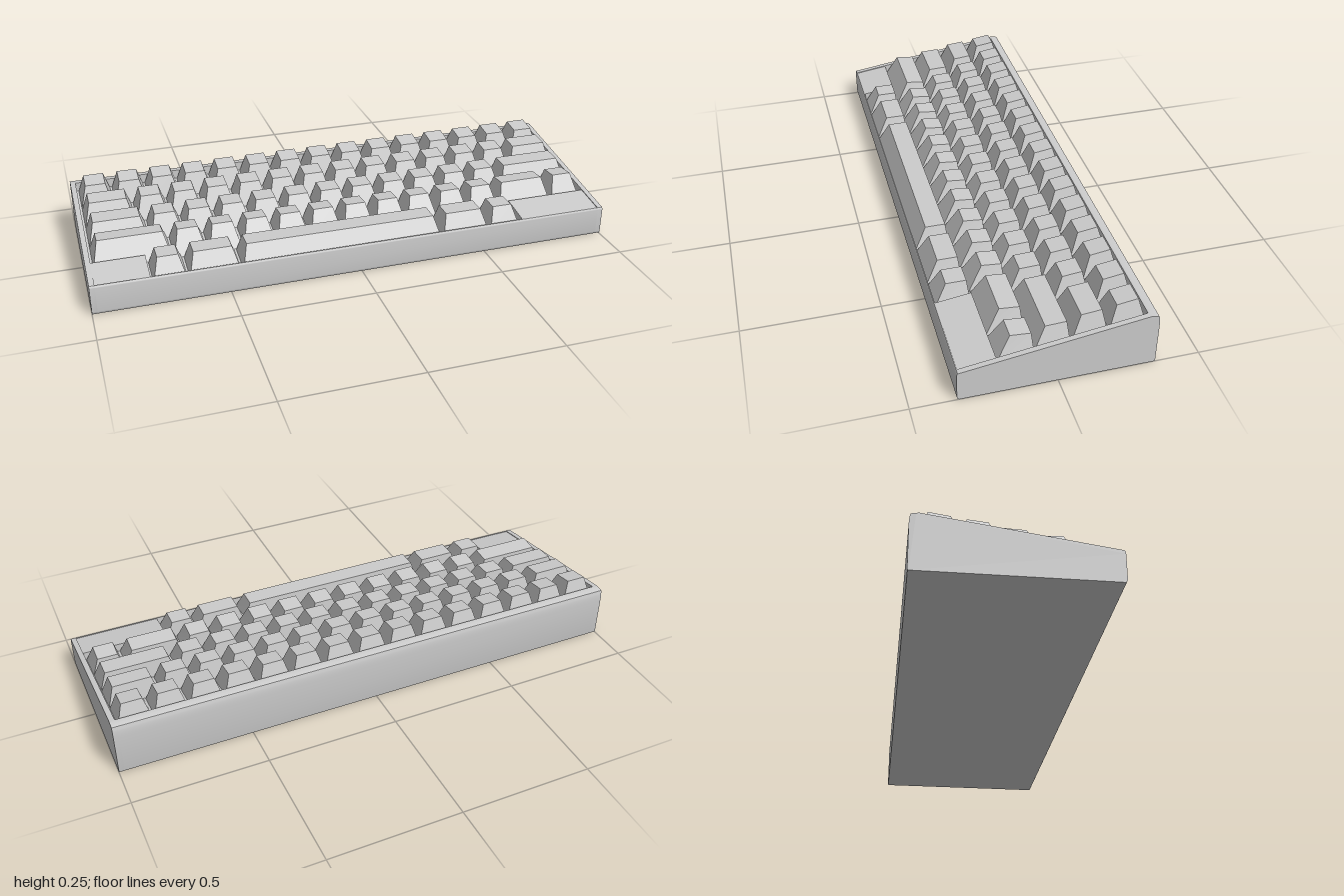
import * as THREE from 'three';
import { toCreasedNormals } from 'three/addons/utils/BufferGeometryUtils.js';

const material = new THREE.MeshStandardMaterial({ color: 0xcccccc });
const INNER = 0.98;      // half width of the key tray
const UNIT = 0.13;       // width of a single key
const DEPTH = 0.035;     // depth of the tray below the rim
const rim = (z) => 0.165 - 0.1427 * z;

// Extrudes a side outline (drawn in -z, y) from x0 to x1
function extrudeSide(name, shape, x0, x1) {
  let geo = new THREE.ExtrudeGeometry(shape, { depth: x1 - x0, bevelEnabled: false, curveSegments: 6 });
  geo.rotateY(Math.PI / 2).translate(x0, 0, 0);
  geo = toCreasedNormals(geo, 0.5);
  const mesh = new THREE.Mesh(geo, material);
  mesh.name = name;
  return mesh;
}

// Wedge outline with softened edges; the tray is cut in if asked for
function caseOutline(withTray) {
  const s = new THREE.Shape();
  s.moveTo(-0.335, 0);
  s.lineTo(0.337, 0);
  s.quadraticCurveTo(0.342, 0, 0.342, 0.006);
  s.lineTo(0.342, 0.16);
  s.quadraticCurveTo(0.342, 0.19, 0.337, 0.204);
  s.quadraticCurveTo(0.325, 0.208, 0.309, 0.209);
  if (withTray) {
    s.lineTo(0.305, rim(-0.305));
    s.lineTo(0.305, rim(-0.305) - DEPTH);
    s.lineTo(-0.336, rim(0.336) - DEPTH);
    s.lineTo(-0.336, rim(0.336));
  }
  s.lineTo(-0.339, rim(0.339));
  s.quadraticCurveTo(-0.343, 0.113, -0.343, 0.1);
  s.lineTo(-0.343, 0.012);
  s.quadraticCurveTo(-0.342, 0.002, -0.335, 0);
  return s;
}

// Filler that covers the tray where the front row has no keys
function fillerOutline() {
  const top = 0.003, front = 0.337, back = 0.207;
  return new THREE.Shape([
    new THREE.Vector2(-front, rim(front) - DEPTH - 0.01),
    new THREE.Vector2(-back, rim(back) - DEPTH - 0.01),
    new THREE.Vector2(-back, rim(back) - top),
    new THREE.Vector2(-front, rim(front) - top),
  ]);
}

// Tapered key: a box whose corners follow the row's side profile
function makeKey(x0, x1, row) {
  const geo = new THREE.BoxGeometry(1, 1, 1);
  const p = geo.attributes.position;
  const gap = 0.004, taper = 0.023;
  const centre = (x0 + x1) / 2, half = (x1 - x0) / 2 - gap;
  for (let i = 0; i < p.count; i++) {
    const isTop = p.getY(i) > 0, isFront = p.getZ(i) > 0;
    const x = centre + Math.sign(p.getX(i)) * (half - (isTop ? taper : 0));
    const baseZ = isFront ? row.base[0] : row.base[1];
    if (isTop) {
      const [z, y] = isFront ? row.front : row.back;
      p.setXYZ(i, x, y, z);
    } else {
      p.setXYZ(i, x, rim(baseZ) - DEPTH, baseZ);
    }
  }
  geo.computeVertexNormals();
  const mesh = new THREE.Mesh(geo, material);
  mesh.name = 'key';
  return mesh;
}

const ones = (n) => Array(n).fill(1);

// Rows from back to front: [z, y] of the top edges, z of the base, key widths in units
const rows = [
  { name: 'numberRow', front: [-0.207, 0.238], back: [-0.281, 0.249], base: [-0.178, -0.301], start: 0, keys: ones(15) },
  { name: 'upperRow', front: [-0.086, 0.223], back: [-0.157, 0.23], base: [-0.05, -0.172], start: 0, keys: [1.5, ...ones(12), 1.5] },
  { name: 'homeRow', front: [0.036, 0.203], back: [-0.038, 0.206], base: [0.078, -0.045], start: 0, keys: [1.75, ...ones(11), 2.25] },
  { name: 'lowerRow', front: [0.154, 0.19], back: [0.082, 0.183], base: [0.205, 0.077], start: 0, keys: [2.25, ...ones(10), 1.75, 1] },
  { name: 'spaceRow', front: [0.29, 0.164], back: [0.216, 0.164], base: [0.334, 0.21], start: 1.5, keys: [1, 1.5, 6, 1.5, 1] },
];

export function createModel() {
  const model = new THREE.Group();
  model.name = 'keyboard';

  // Case: tray in the middle, full-height cheeks at both ends
  const body = new THREE.Group();
  body.name = 'case';
  body.add(
    extrudeSide('tray', caseOutline(true), -INNER, INNER),
    extrudeSide('rightCheek', caseOutline(false), -1, -INNER),
    extrudeSide('leftCheek', caseOutline(false), INNER, 1),
    extrudeSide('rightFiller', fillerOutline(), -INNER, -0.785),
    extrudeSide('leftFiller', fillerOutline(), 0.655, INNER),
  );
  model.add(body);

  // Keys, laid out row by row
  for (const row of rows) {
    const group = new THREE.Group();
    group.name = row.name;
    let x = (row.start - 7.5) * UNIT;
    for (const width of row.keys) {
      group.add(makeKey(x, x + width * UNIT, row));
      x += width * UNIT;
    }
    model.add(group);
  }
  return model;
}
